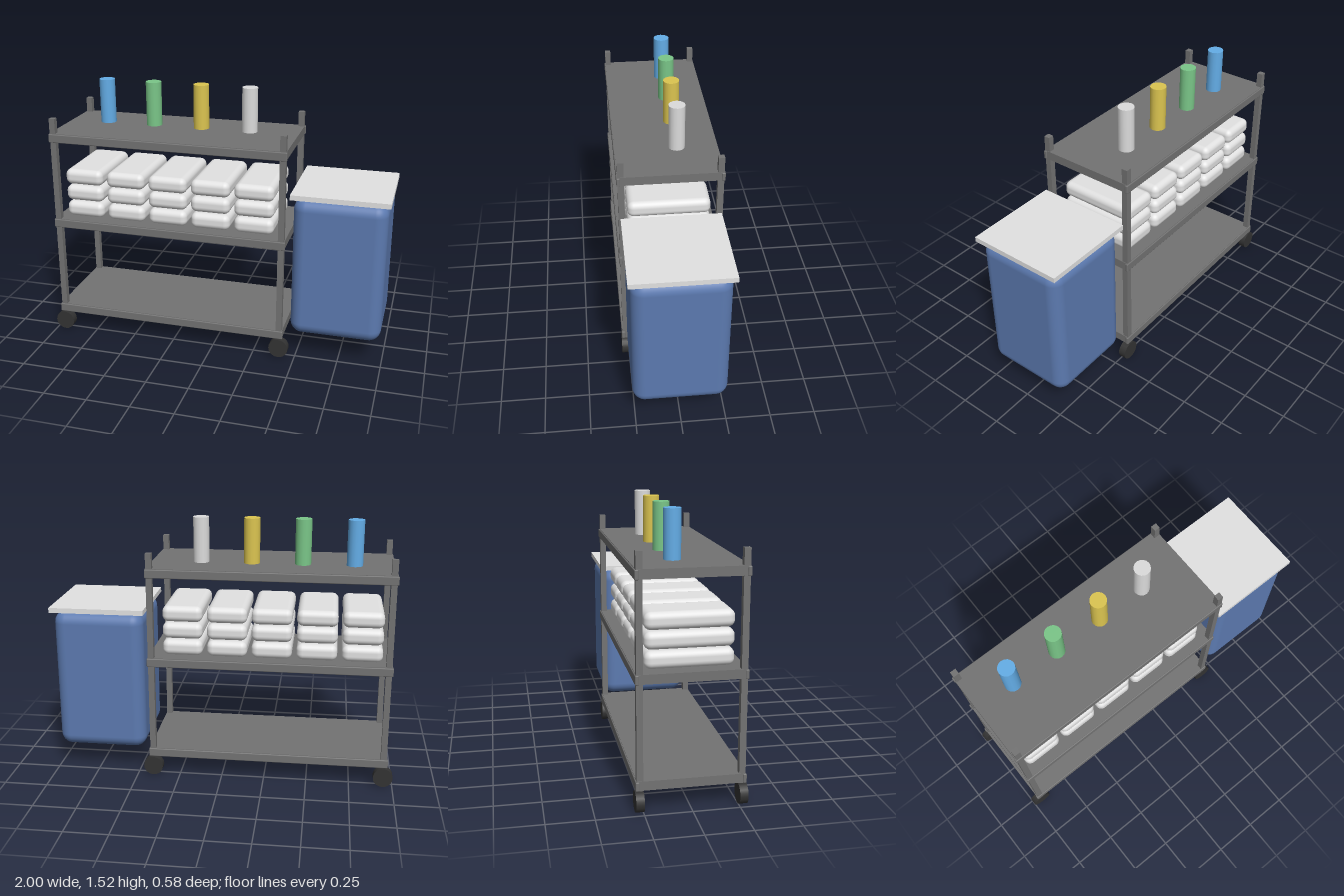
import * as THREE from 'three';
import { RoundedBoxGeometry } from 'three/addons/geometries/RoundedBoxGeometry.js';

const material = (name, color) => {
  const m = new THREE.MeshStandardMaterial({ color });
  m.name = name;
  return m;
};

export function createModel() {
  const model = new THREE.Group();
  model.name = 'linenCart';

  const metal = material('grey metal', 0x737373);
  const rubber = material('dark rubber', 0x333333);
  const linen = material('white linen', 0xe2e2e2);
  const fabric = material('blue fabric', 0x5c7ab0);
  const bottleColours = [
    material('blue bottle', 0x64aee8),
    material('green bottle', 0x7ac688),
    material('yellow bottle', 0xdcc550),
    material('pale bottle', 0xdcdcdc),
  ];

  const add = (parent, name, geometry, mat, x, y, z) => {
    const mesh = new THREE.Mesh(geometry, mat);
    mesh.name = name;
    mesh.position.set(x, y, z);
    parent.add(mesh);
    return mesh;
  };
  const group = (name) => {
    const g = new THREE.Group();
    g.name = name;
    model.add(g);
    return g;
  };

  // Three shelves, each a slab with a slightly proud rail along front and back
  const midX = -0.27;
  const slab = new THREE.BoxGeometry(1.392, 0.05, 0.568);
  const rail = new RoundedBoxGeometry(1.4, 0.05, 0.02, 2, 0.005);
  for (const [name, y] of [['bottomShelf', 0.144], ['middleShelf', 0.706], ['topShelf', 1.23]]) {
    const shelf = group(name);
    add(shelf, 'shelfSlab', slab, metal, midX, y + 0.003, 0);
    for (const s of [-1, 1]) add(shelf, 'shelfRail', rail, metal, midX, y, s * 0.28);
  }

  // Corner posts and wheels
  const post = new THREE.BoxGeometry(0.034, 1.227, 0.034);
  const wheel = new THREE.CylinderGeometry(0.057, 0.057, 0.044, 20).rotateX(Math.PI / 2);
  const frame = group('frame');
  for (const x of [-0.945, 0.406]) {
    for (const s of [-1, 1]) {
      add(frame, 'post', post, metal, x, 0.7315, s * 0.267);
      add(frame, 'wheel', wheel, rubber, x, 0.058, s * 0.27);
    }
  }

  // Five stacks of three folded towels
  const towel = new RoundedBoxGeometry(0.232, 0.093, 0.464, 4, 0.036);
  const towels = group('towels');
  for (let i = 0; i < 5; i++) {
    for (let j = 0; j < 3; j++) {
      add(towels, 'towel', towel, linen, -0.796 + i * 0.257, 0.782 + j * 0.1, 0);
    }
  }

  // Row of bottles on the top shelf
  const bottle = new THREE.CylinderGeometry(0.046, 0.046, 0.26, 16);
  const bottles = group('bottles');
  bottleColours.forEach((mat, i) => {
    add(bottles, 'bottle', bottle, mat, -0.735 + i * 0.2915, 1.389, -0.06);
  });

  // Laundry bag with a flat lid, hung at the end
  const hamper = group('laundryBag');
  add(hamper, 'bag', new RoundedBoxGeometry(0.525, 0.835, 0.525, 5, 0.07), fabric, 0.723, 0.5625, 0);
  add(hamper, 'lid', new THREE.BoxGeometry(0.55, 0.029, 0.55), linen, 0.723, 0.9965, 0);

  return model;
}
